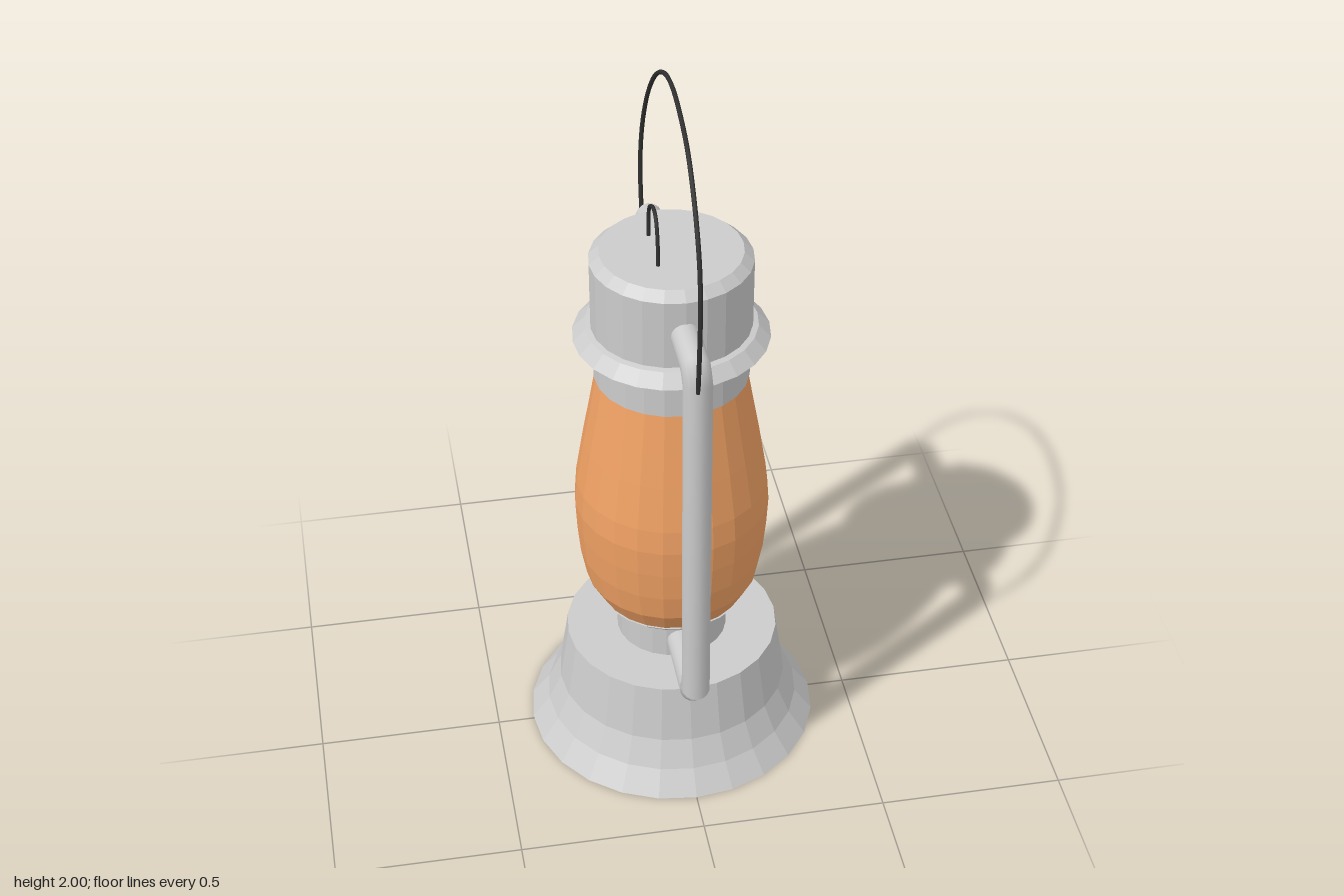
import * as THREE from 'three';

const SIDES = 24;
const CENTRE_Z = -0.01;

const metal = new THREE.MeshStandardMaterial({ color: 0xcccccc, flatShading: true, side: THREE.DoubleSide });
const pipeMetal = new THREE.MeshStandardMaterial({ color: 0xcccccc });
const glass = new THREE.MeshStandardMaterial({ color: 0xf0a164, flatShading: true, side: THREE.DoubleSide });
const wire = new THREE.MeshStandardMaterial({ color: 0x303030 });

function addMesh(parent, name, geometry, material) {
  const mesh = new THREE.Mesh(geometry, material);
  mesh.name = name;
  parent.add(mesh);
  return mesh;
}

// Turned part from [radius, height] pairs, listed bottom to top
function turned(profile) {
  return new THREE.LatheGeometry(profile.map(([r, y]) => new THREE.Vector2(r, y)), SIDES);
}

// Round pipe along a [z, y] path, mitred at every bend
function mitredPipe(path, radius, sides = 16) {
  const pts = path.map(([z, y]) => new THREE.Vector2(z, y));
  const positions = [], index = [];
  pts.forEach((p, i) => {
    const before = p.clone().sub(pts[Math.max(i - 1, 0)]).normalize();
    const after = pts[Math.min(i + 1, pts.length - 1)].clone().sub(p).normalize();
    const along = before.clone().add(after).normalize();
    const stretch = 1 / Math.max(along.dot(before), along.dot(after));
    for (let j = 0; j < sides; j++) {
      const a = (j / sides) * Math.PI * 2;
      const s = Math.sin(a) * radius * stretch;
      positions.push(Math.cos(a) * radius, p.y + along.x * s, p.x - along.y * s);
      if (i < pts.length - 1) {
        const k = (j + 1) % sides;
        const a0 = i * sides + j, b0 = i * sides + k;
        index.push(a0, b0, a0 + sides, b0, b0 + sides, a0 + sides);
      }
    }
  });
  const geometry = new THREE.BufferGeometry();
  geometry.setAttribute('position', new THREE.Float32BufferAttribute(positions, 3));
  geometry.setIndex(index);
  geometry.computeVertexNormals();
  return geometry;
}

// Thin bent wire through [x, y, z] points
function bentWire(points, radius, segments) {
  const curve = new THREE.CatmullRomCurve3(points.map((p) => new THREE.Vector3(...p)));
  return new THREE.TubeGeometry(curve, segments, radius, 8);
}

export function createModel() {
  const lantern = new THREE.Group();
  lantern.name = 'lantern';
  const body = new THREE.Group();
  body.name = 'body';
  body.position.z = CENTRE_Z;
  lantern.add(body);

  // Flared fuel base
  addMesh(body, 'base', turned([
    [0, 0], [0.4, 0], [0.352, 0.065], [0.317, 0.143], [0.292, 0.308], [0, 0.308],
  ]), metal);

  // Burner neck with the lip that holds the globe
  addMesh(body, 'burnerNeck', turned([
    [0.152, 0.3], [0.152, 0.43], [0.185, 0.43], [0.205, 0.45], [0, 0.45],
  ]), metal);

  // Amber globe
  addMesh(body, 'globe', turned([
    [0.198, 0.447], [0.235, 0.515], [0.25, 0.595], [0.258, 0.68], [0.262, 0.76],
    [0.257, 0.83], [0.236, 0.96], [0.218, 1.06], [0.198, 1.175],
  ]), glass);

  // Chimney: collar, rain flange and bevelled cap
  addMesh(body, 'chimney', turned([
    [0, 1.17], [0.204, 1.17], [0.204, 1.285], [0.257, 1.292], [0.225, 1.325],
    [0.21, 1.328], [0.211, 1.522], [0.185, 1.546], [0, 1.546],
  ]), metal);

  // Side pipes, one in front and one behind
  const pipePath = [
    [0.1, 0.36], [0.339, 0.36], [0.372, 0.393], [0.372, 1.389], [0.339, 1.422], [0.15, 1.422],
  ];
  const pipe = mitredPipe(pipePath, 0.038);
  addMesh(body, 'frontPipe', pipe, pipeMetal);
  addMesh(body, 'backPipe', pipe, pipeMetal).rotation.y = Math.PI;

  // Lifting loop on the cap
  addMesh(lantern, 'capLoop', bentWire([
    [-0.046, 1.535, 0.06], [-0.046, 1.62, 0.053], [-0.046, 1.665, 0.03], [-0.046, 1.675, 0],
    [-0.046, 1.662, -0.035], [-0.046, 1.63, -0.073], [-0.046, 1.535, -0.083],
  ], 0.005, 28), wire);

  // Carrying handle
  addMesh(lantern, 'handle', bentWire([
    [-0.006, 1.39, 0.395], [-0.006, 1.52, 0.411], [-0.005, 1.66, 0.413], [-0.003, 1.76, 0.385],
    [-0.001, 1.865, 0.315], [0.002, 1.955, 0.2], [0.005, 1.994, 0.05], [0.007, 1.994, -0.05],
    [0.008, 1.965, -0.16], [0.004, 1.9, -0.265], [-0.003, 1.8, -0.345], [-0.01, 1.68, -0.391],
    [-0.014, 1.56, -0.402], [-0.014, 1.4, -0.384],
  ], 0.006, 60), wire);

  return lantern;
}
